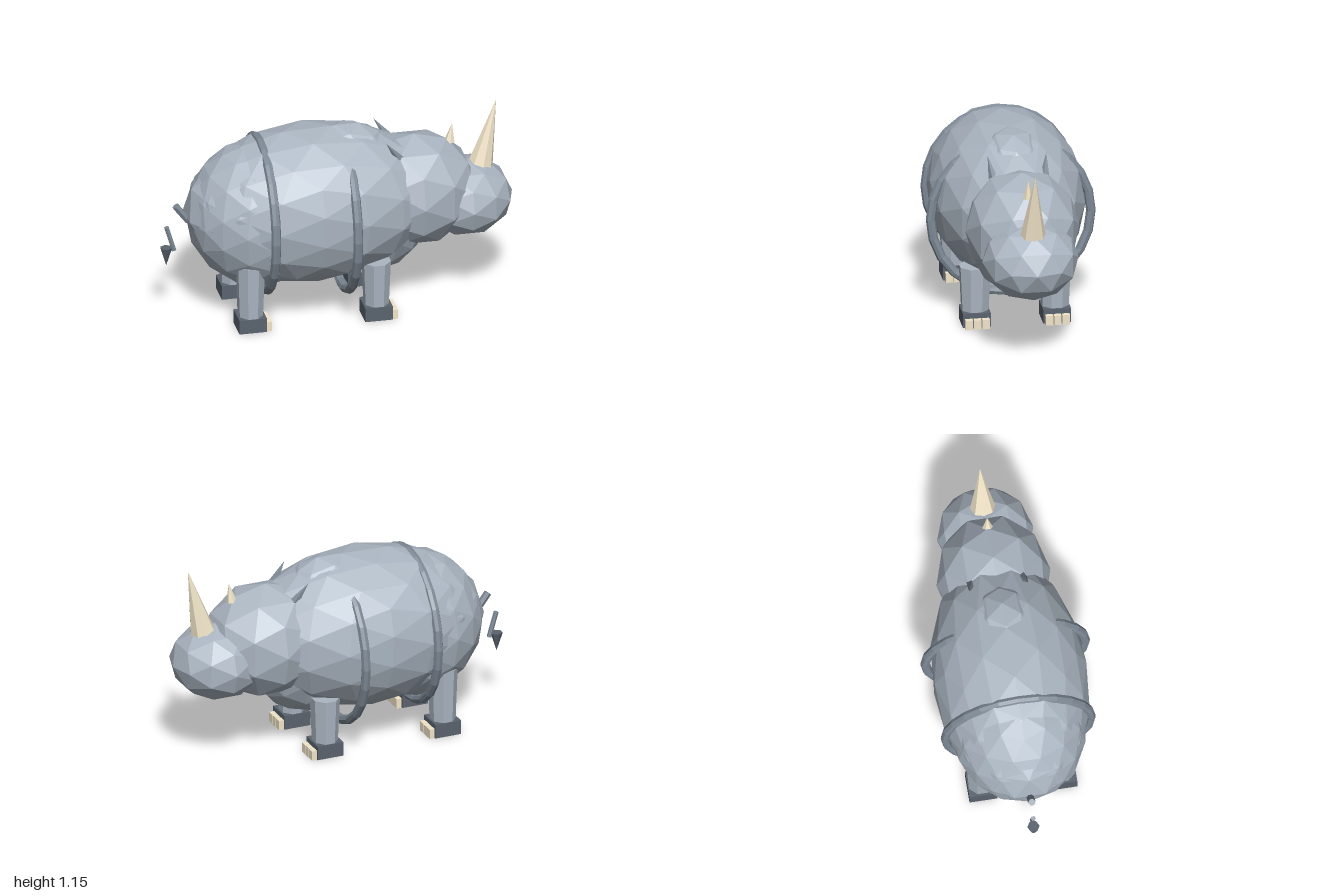
import * as THREE from 'three';

const mat = (color) => new THREE.MeshStandardMaterial({ color, flatShading: true, side: THREE.DoubleSide });
const hide = mat(0xabb6c2), fold = mat(0x7f8b97), dark = mat(0x5a636e), ivory = mat(0xf2e6ca);

export function createModel() {
  const model = new THREE.Group();

  const add = (name, geometry, material, x = 0, y = 0, z = 0) => {
    const mesh = new THREE.Mesh(geometry, material);
    mesh.name = name;
    mesh.position.set(x, y, z);
    model.add(mesh);
    return mesh;
  };

  // Faceted ellipsoid
  const blob = (name, [x, y, z], [rx, ry, rz], detail) =>
    add(name, new THREE.IcosahedronGeometry(1, detail).scale(rx, ry, rz), hide, x, y, z);

  // Tapered rod between two points
  const rod = (name, from, to, r0, r1, sides, material) => {
    const a = new THREE.Vector3(...from), b = new THREE.Vector3(...to);
    const dir = b.clone().sub(a);
    const mesh = add(name, new THREE.CylinderGeometry(r1, r0, dir.length(), sides), material);
    mesh.position.copy(a).add(b).multiplyScalar(0.5);
    mesh.quaternion.setFromUnitVectors(new THREE.Vector3(0, 1, 0), dir.normalize());
    return mesh;
  };

  // Body, facing +x
  blob('body', [-0.15, 0.638, 0], [0.715, 0.455, 0.435], 2).rotation.z = 0.03;
  blob('rump', [-0.425, 0.605, 0], [0.425, 0.425, 0.38], 2);
  blob('shoulders', [0.06, 0.645, 0], [0.34, 0.455, 0.26], 2);
  blob('chest', [0.2, 0.59, 0], [0.34, 0.4, 0.28], 2);
  blob('head', [0.44, 0.66, 0], [0.36, 0.33, 0.32], 1);
  blob('snout', [0.73, 0.585, 0], [0.27, 0.22, 0.27], 1);

  // Skin folds around the body
  for (const [name, x, y, ry, rz] of [
    ['rearSkinFold', -0.43, 0.593, 0.437, 0.411],
    ['frontSkinFold', 0.027, 0.575, 0.455, 0.45],
  ]) {
    const ring = new THREE.TorusGeometry(0.45, 0.027, 8, 24).rotateY(Math.PI / 2);
    add(name, ring.scale(1, ry / 0.45, rz / 0.45), fold, x, y, 0);
  }

  // Horns
  rod('frontHorn', [0.82, 0.765, 0], [0.91, 1.15, 0], 0.072, 0, 8, ivory);
  rod('rearHorn', [0.645, 0.92, 0], [0.66, 1.03, 0], 0.03, 0, 6, ivory);

  for (const side of [1, -1]) {
    // Ears
    const ear = rod('ear', [0.335, 0.905, side * 0.142], [0.25, 1.025, side * 0.165], 0.038, 0, 5, fold);
    ear.scale.set(0.8, 1, 0.8);

    // Legs with feet and three toenails each
    for (const [name, x, top] of [['frontLeg', 0.178, 0.347], ['rearLeg', -0.537, 0.4]]) {
      const z = side * 0.225;
      const leg = new THREE.CylinderGeometry(0.092, 0.078, top - 0.06, 8).rotateY(Math.PI / 8);
      const legMesh = add(name, leg, hide, x, (top + 0.06) / 2, z);
      legMesh.scale.x = 0.9;
      add('foot', new THREE.BoxGeometry(0.156, 0.082, 0.156), dark, x, 0.046, z);
      for (const i of [-1, 0, 1]) {
        add('toenail', new THREE.BoxGeometry(0.05, 0.056, 0.042), ivory, x + 0.083, 0.031, z + i * 0.047);
      }
    }
  }

  // Tail in loose segments with a tuft
  rod('tailBase', [-0.84, 0.59, 0], [-0.912, 0.685, 0], 0.021, 0.021, 6, fold);
  rod('tailMiddle', [-0.963, 0.56, 0], [-0.92, 0.415, 0], 0.014, 0.014, 6, fold);
  rod('tailTuft', [-0.965, 0.435, 0], [-0.965, 0.325, 0], 0.035, 0, 6, dark);

  return model;
}
